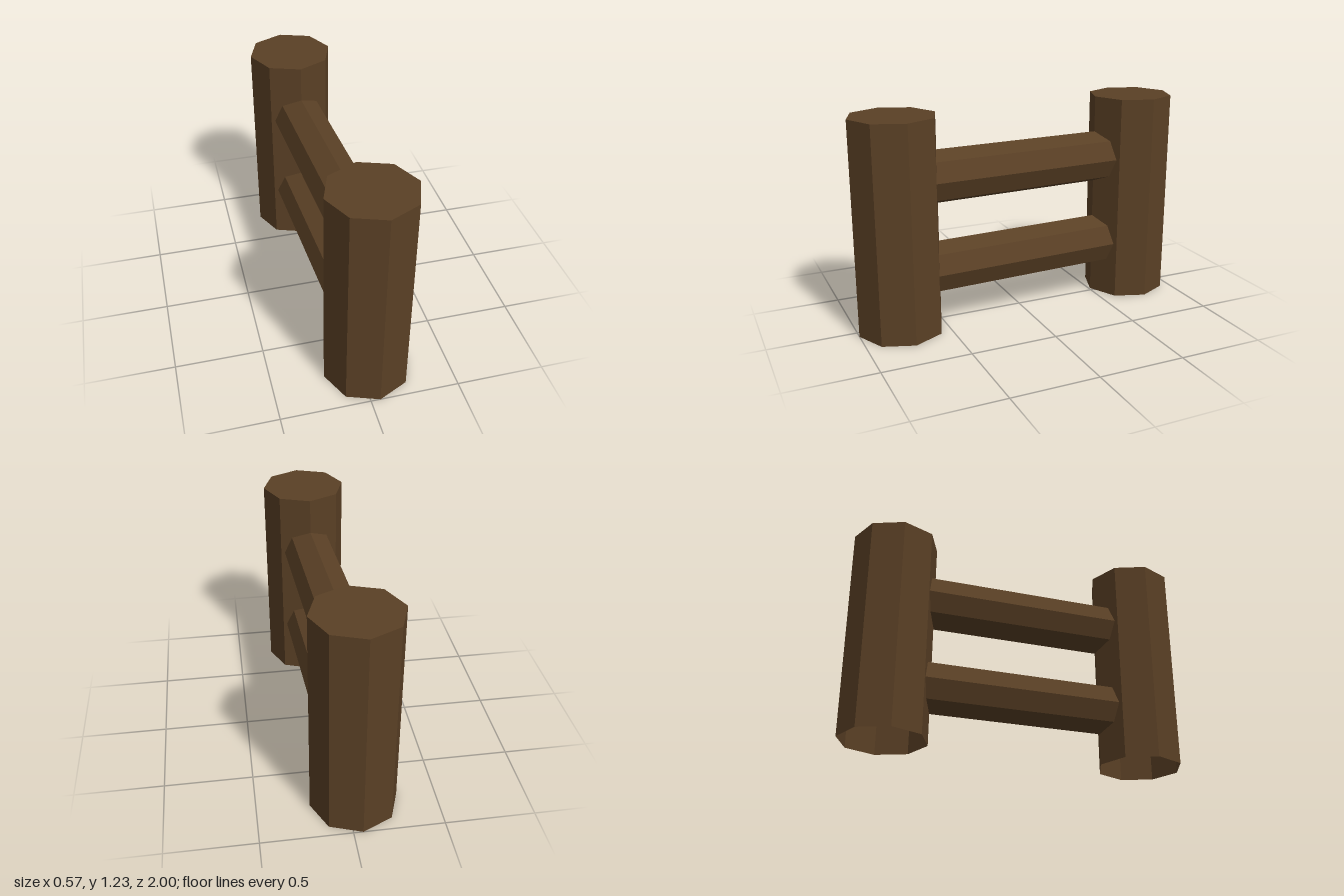
import * as THREE from 'three';

export function createModel() {
  const model = new THREE.Group();
  model.name = 'logFence';

  const wood = new THREE.MeshStandardMaterial({ color: 0x5a4025, flatShading: true, side: THREE.DoubleSide });
  wood.name = 'darkWood';

  const sides = 8;
  const postRadius = 0.246, postHeight = 1.23, postOffset = 0.756;
  const railRadius = 0.153, railLength = 1.15;

  const add = (parent, name, geometry, x, y, z) => {
    const mesh = new THREE.Mesh(geometry, wood);
    mesh.name = name;
    mesh.position.set(x, y, z);
    parent.add(mesh);
  };

  // Upright log posts: hollow below, closed by a flat octagonal top
  const postSide = new THREE.CylinderGeometry(postRadius, postRadius, postHeight, sides, 1, true);
  const postTop = new THREE.CylinderGeometry(0, postRadius, 0, sides, 1, true);
  for (const [name, dir] of [['frontPost', 1], ['backPost', -1]]) {
    const post = new THREE.Group();
    post.name = name;
    post.position.z = dir * postOffset;
    add(post, name + 'Side', postSide, 0, postHeight / 2, 0);
    add(post, name + 'Top', postTop, 0, postHeight, 0);
    model.add(post);
  }

  // Horizontal log rails, their ends sunk into the posts
  const rail = new THREE.CylinderGeometry(railRadius, railRadius, railLength, sides, 1, true);
  rail.rotateX(Math.PI / 2);
  add(model, 'lowerRail', rail, 0, 0.337, 0);
  add(model, 'upperRail', rail, 0, 0.867, 0);

  // The whole fence stands slightly turned
  model.rotation.y = 0.053;
  return model;
}
